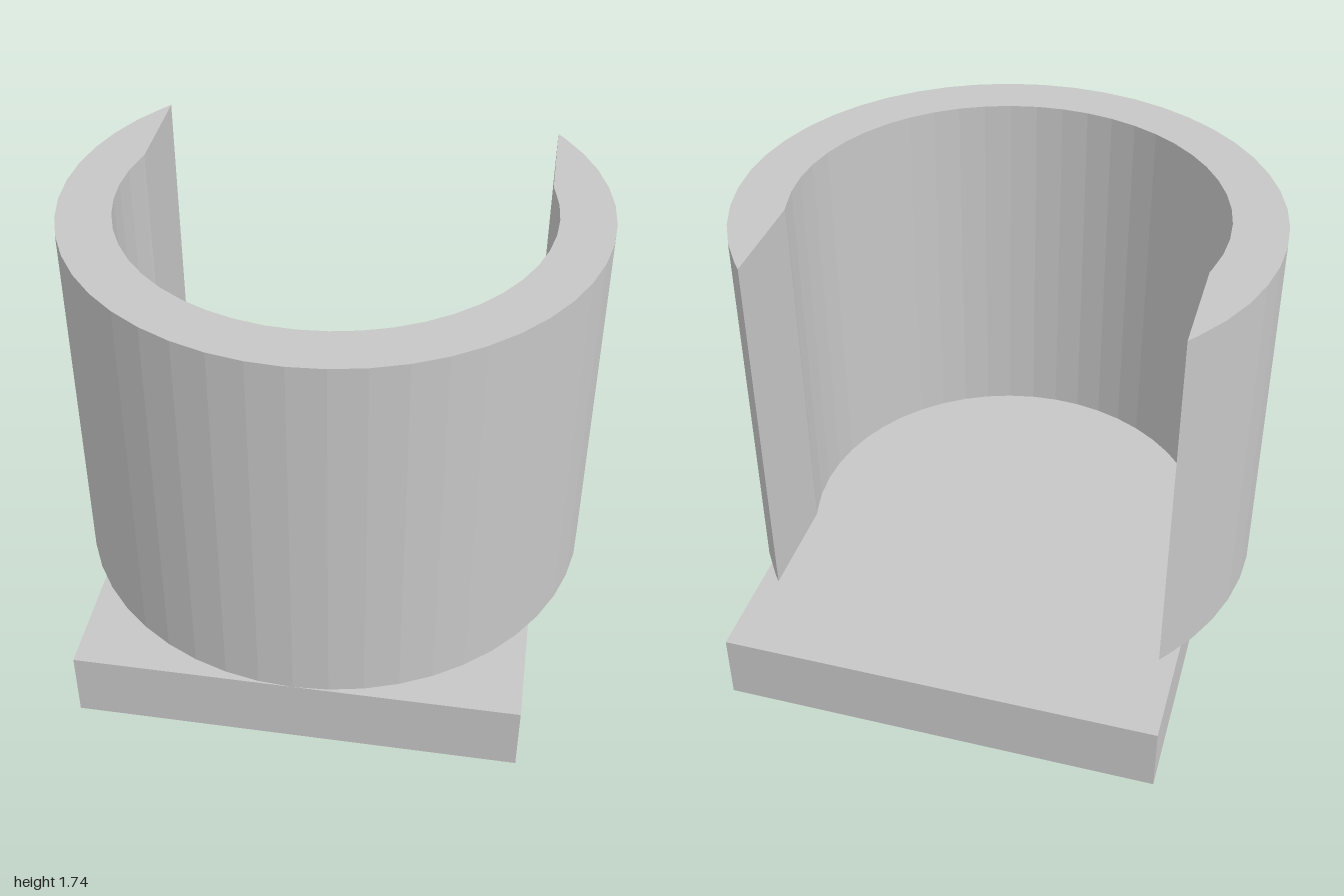
import * as THREE from 'three';

const OUTER = 1, INNER = 0.8, OPENING = 0.767; // radii and half width of the rear opening
const BASE_H = 0.27, TOP = 1.735, STEP = Math.PI / 24;

// Faceted arc through the front (+z), from the right opening edge to the left one
function arc(radius) {
  const limit = Math.PI - Math.asin(OPENING / radius);
  const n = Math.floor(limit / STEP);
  const angles = [-limit];
  for (let i = -n; i <= n; i++) angles.push(i * STEP);
  angles.push(limit);
  return angles.map(a => new THREE.Vector2(radius * Math.sin(a), radius * Math.cos(a)));
}

export function createModel() {
  const group = new THREE.Group();
  group.name = 'openCylinderHolder';
  const grey = new THREE.MeshStandardMaterial({ color: 0xc6c6c6 });
  grey.name = 'light grey';

  // Rectangular base plate
  const base = new THREE.Mesh(new THREE.BoxGeometry(1.666, BASE_H, 2), grey);
  base.name = 'basePlate';
  base.position.y = BASE_H / 2;
  group.add(base);

  // Round wall, cut open at the back with straight parallel flanks
  const outline = new THREE.Shape([...arc(OUTER), ...arc(INNER).reverse()]);
  const wallGeo = new THREE.ExtrudeGeometry(outline, { depth: TOP - BASE_H, bevelEnabled: false });
  wallGeo.rotateX(Math.PI / 2);
  const wall = new THREE.Mesh(wallGeo, grey);
  wall.name = 'roundWall';
  wall.position.y = TOP;
  group.add(wall);

  return group;
}
